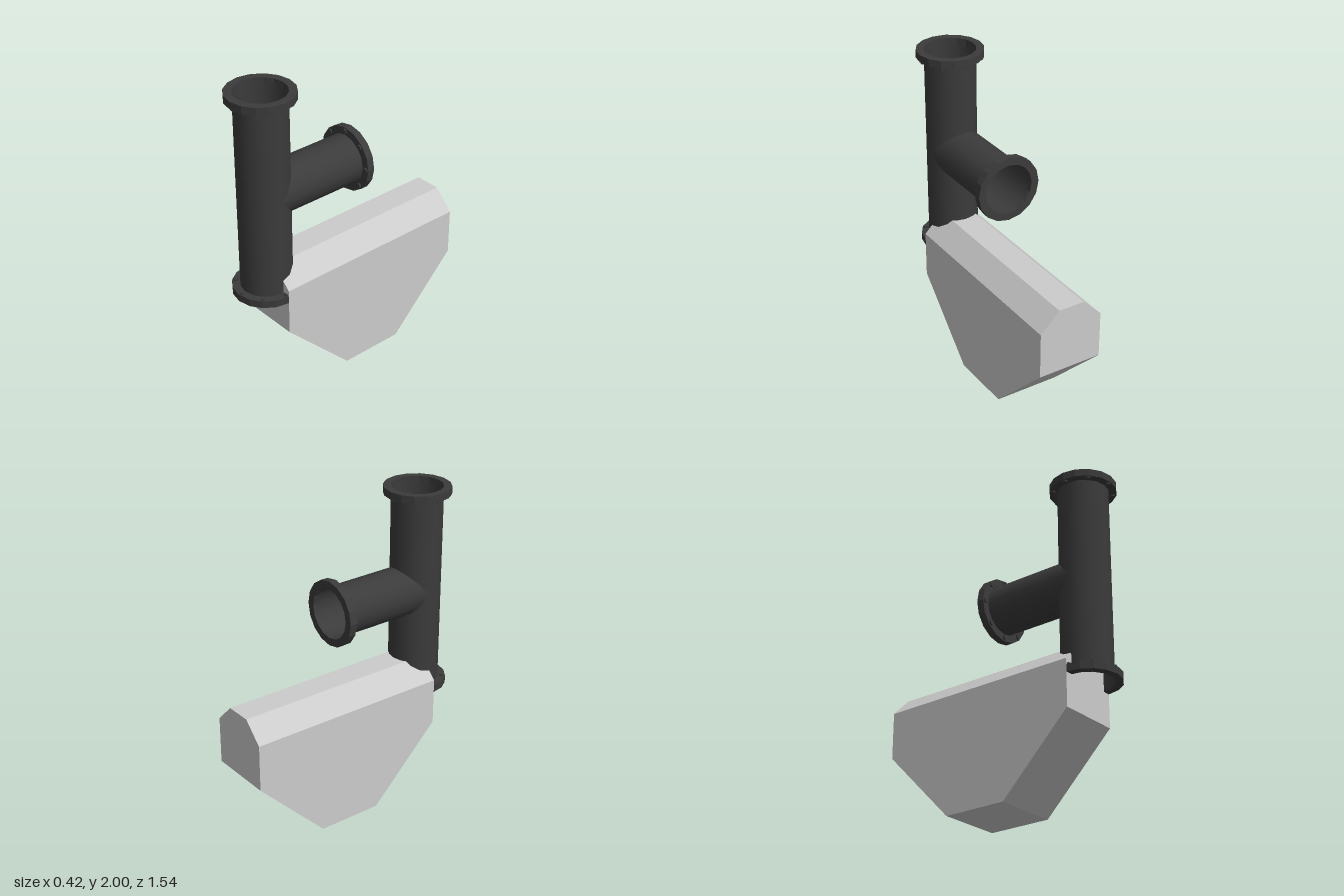
import * as THREE from 'three';
import { ConvexGeometry } from 'three/addons/geometries/ConvexGeometry.js';

const SIDES = 16;
const PIPE_R = 0.16;
const PIPE_Z = 0.565;

export function createModel() {
  const model = new THREE.Group();
  model.name = 'pipeTeeOnBlock';
  const grey = new THREE.MeshStandardMaterial({ color: 0xcccccc, side: THREE.DoubleSide });
  const dark = new THREE.MeshStandardMaterial({ color: 0x3b3b3b, flatShading: true });
  const pipeMat = new THREE.MeshStandardMaterial({ color: 0x3b3b3b, side: THREE.DoubleSide });

  const add = (parent, name, geometry, material) => {
    const mesh = new THREE.Mesh(geometry, material);
    mesh.name = name;
    parent.add(mesh);
    return mesh;
  };

  // Support block: tapered base and chamfered ridge, as [z, y, half width]
  const corners = [
    [0.565, 0.46, 0.21], [0.565, 0.76, 0.21], [0.565, 0.885, 0.085],
    [-0.77, 0.885, 0.085], [-0.77, 0.76, 0.21], [-0.77, 0.46, 0.21],
    [-0.315, 0, 0.21], [0.105, 0, 0.21],
  ];
  const points = corners.flatMap(([z, y, w]) => [-w, w].map((x) => new THREE.Vector3(x, y, z)));
  // Mirroring turns the faces inward, so the block is shaded as a shell seen from behind
  const block = new ConvexGeometry(points).scale(-1, 1, 1);
  add(model, 'supportBlock', block, grey);

  // Open tube standing on its local origin
  const tube = (name, length) => {
    const g = new THREE.CylinderGeometry(PIPE_R, PIPE_R, length, SIDES, 1, true);
    g.translate(0, length / 2, 0);
    return add(model, name, g, pipeMat);
  };

  // Ring flange with its outer face at local y = 0 and bolt heads behind it
  const flangeProfile = [
    [0.16, -0.047], [0.209, -0.047], [0.209, 0], [0.16, 0], [0.16, -0.047],
  ].map(([r, y]) => new THREE.Vector2(r, y));
  const flange = (name) => {
    const group = new THREE.Group();
    group.name = name;
    add(group, 'ring', new THREE.LatheGeometry(flangeProfile, SIDES), dark);
    for (let i = 0; i < 8; i++) {
      const a = (i / 8) * Math.PI * 2;
      const bolt = add(group, 'bolt', new THREE.CylinderGeometry(0.017, 0.017, 0.02, 6), dark);
      bolt.position.set(Math.sin(a) * 0.186, -0.048, Math.cos(a) * 0.186);
    }
    model.add(group);
    return group;
  };

  // Upright pipe with a flange at each end
  tube('uprightPipe', 1.28).position.set(0, 0.69, PIPE_Z);
  flange('topFlange').position.set(0, 2, PIPE_Z);
  const bottom = flange('bottomFlange');
  bottom.position.set(0, 0.675, PIPE_Z);
  bottom.rotation.x = Math.PI;

  // Branch pipe running backwards
  const branch = tube('branchPipe', 0.645);
  branch.scale.set(0.985, 1, 0.985);
  branch.position.set(0, 1.337, PIPE_Z);
  branch.rotation.x = -Math.PI / 2;
  const end = flange('branchFlange');
  end.position.set(0, 1.337, -0.102);
  end.rotation.x = -Math.PI / 2;

  return model;
}
